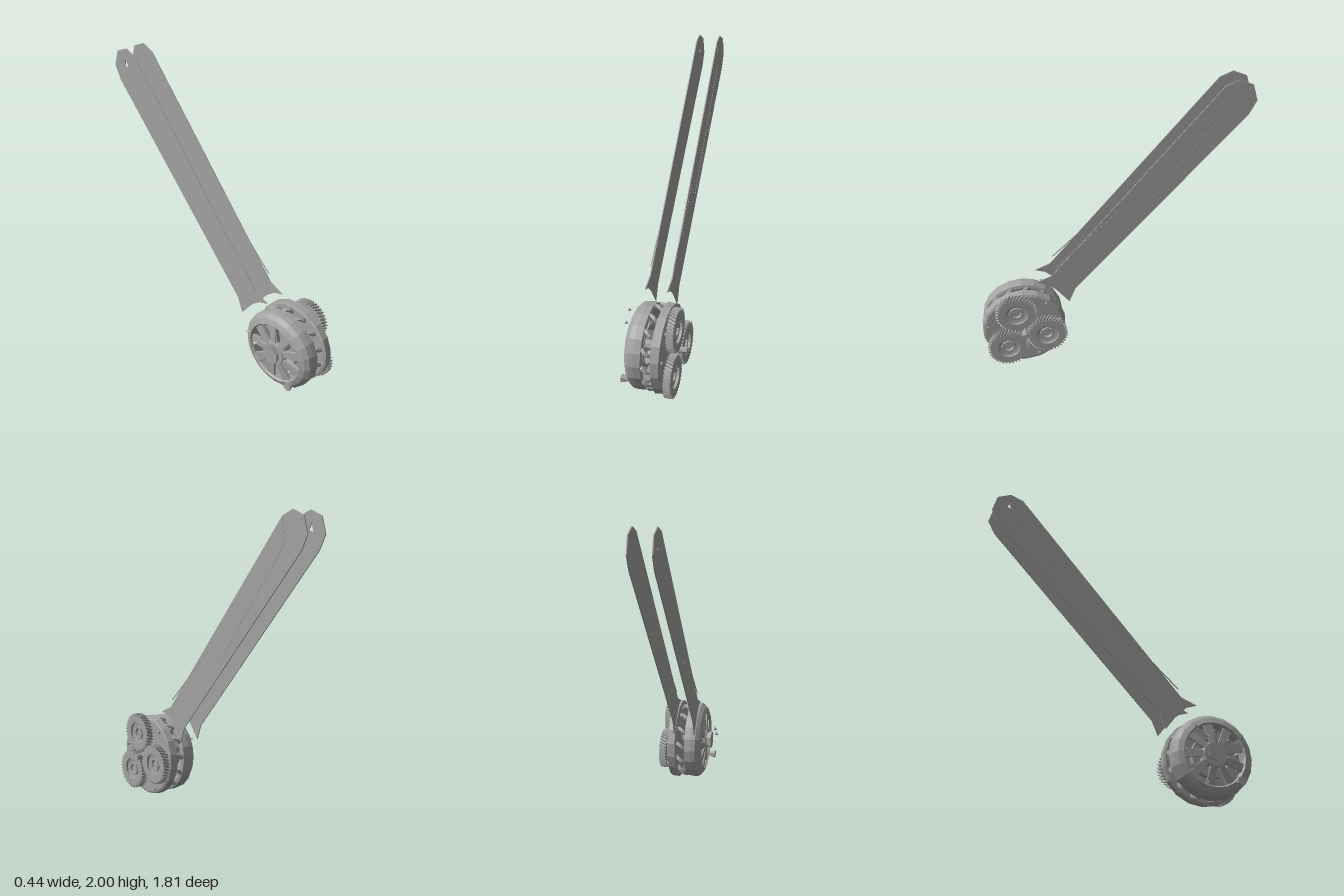
import * as THREE from 'three';

const steel = new THREE.MeshStandardMaterial({ color: 0xa3a3a3, flatShading: true, side: THREE.DoubleSide });
steel.name = 'steel grey';

// Everything is laid out in a side plane (u = -z, v = y) with depth along x,
// then the whole assembly is turned a quarter turn about y.
const CU = -0.618, CV = 0.289;

function add(parent, name, geometry, u = 0, v = 0, d = 0) {
  const mesh = new THREE.Mesh(geometry, steel);
  mesh.name = name;
  mesh.position.set(u, v, d);
  parent.add(mesh);
  return mesh;
}
const disc = (r1, r2, depth, sides) => new THREE.CylinderGeometry(r2, r1, depth, sides).rotateX(Math.PI / 2);
const ring = (profile, sides) =>
  new THREE.LatheGeometry(profile.map(([r, d]) => new THREE.Vector2(r, d)), sides).rotateX(Math.PI / 2);
const poly = pts => pts.map(([u, v]) => new THREE.Vector2(u, v));
const slab = (shape, depth, steps = 1) => new THREE.ExtrudeGeometry(shape, { depth, steps, bevelEnabled: false, curveSegments: 10 });

// Helical gear: toothed rim twisted along its depth, dished web and hexagonal hub
function makeGear(name, u, v, phase) {
  const gear = new THREE.Group();
  gear.name = name;
  gear.position.set(u, v, 0.13);
  const teeth = 36, pts = [];
  for (let i = 0; i < teeth; i++) {
    for (const [f, r] of [[0, 0.125], [0.42, 0.125], [0.56, 0.14], [0.86, 0.14]]) {
      const a = phase + (i + f) / teeth * Math.PI * 2;
      pts.push([r * Math.cos(a), r * Math.sin(a)]);
    }
  }
  const shape = new THREE.Shape(poly(pts));
  shape.holes.push(new THREE.Path().absarc(0, 0, 0.078, 0, Math.PI * 2, true));
  const rim = slab(shape, 0.046, 2), p = rim.attributes.position;
  for (let i = 0; i < p.count; i++) {
    const x = p.getX(i), y = p.getY(i), a = p.getZ(i) * 3.6;
    p.setXY(i, x * Math.cos(a) - y * Math.sin(a), x * Math.sin(a) + y * Math.cos(a));
  }
  rim.computeVertexNormals();
  add(gear, 'gearRim', rim);
  add(gear, 'gearWeb', ring([[0.04, 0.008], [0.08, 0.018], [0.08, 0.03], [0.04, 0.022], [0.04, 0.008]], 16));
  add(gear, 'gearHub', ring([[0.03, 0], [0.056, 0], [0.052, 0.036], [0.033, 0.036], [0.03, 0]], 8));
  add(gear, 'gearAxle', disc(0.032, 0.026, 0.045, 6), 0, 0, 0.002);
  return gear;
}

// Long thin blade with flared foot and rounded, faceted tip
function makeBlade(name, x, holed) {
  const blade = new THREE.Group();
  blade.name = name;
  blade.position.z = x;
  const shape = new THREE.Shape(poly([
    [-0.515, 0.62], [-0.45, 0.6], [-0.387, 0.55], [-0.297, 0.435], [-0.255, 0.54],
    [0.86, 1.765], [0.907, 1.857], [0.875, 1.963], [0.785, 2], [0.7, 1.965], [-0.41, 0.665]]));
  if (holed) shape.holes.push(new THREE.Path(poly([[0.77, 1.88], [0.81, 1.87], [0.795, 1.925]])));
  add(blade, 'bladePlate', slab(shape, 0.007), 0, 0, -0.0035);
  return blade;
}

// Narrow crease standing just proud of a blade face
function crease(parent, [u1, v1], [u2, v2], d, width = 0.006) {
  const len = Math.hypot(u2 - u1, v2 - v1);
  const bar = add(parent, 'bladeCrease', new THREE.BoxGeometry(len, width, 0.004), (u1 + u2) / 2, (v1 + v2) / 2, d);
  bar.rotation.z = Math.atan2(v2 - v1, u2 - u1);
}

export function createModel() {
  const model = new THREE.Group();
  model.name = 'gearedBladeTool';
  const side = new THREE.Group();
  side.name = 'assembly';
  side.rotation.y = Math.PI / 2;
  model.add(side);

  // Blades
  const left = makeBlade('leftBlade', 0.055, false);
  const right = makeBlade('rightBlade', -0.09, true);
  side.add(left, right);
  const lines = [
    [[-0.39, 0.72], [0.045, 1.135]], [[0.09, 1.07], [0.13, 1.05]], [[0.13, 1.05], [0.72, 1.8]],
    [[0.72, 1.8], [0.7, 1.95]], [[0.8, 1.84], [0.85, 1.81]], [[0.84, 1.93], [0.87, 1.955]],
    [[0.46, 1.37], [0.52, 1.43]], [[0.62, 1.53], [0.66, 1.57]], [[-0.38, 0.58], [-0.29, 0.52]], [[-0.41, 0.66], [-0.38, 0.58]]];
  for (const [a, b] of lines) crease(left, a, b, 0.003);
  for (const [a, b] of lines.slice(0, 3)) crease(right, a, b, -0.003);

  // Wheel body
  const wheel = new THREE.Group();
  wheel.name = 'wheel';
  wheel.position.set(CU, CV, 0);
  side.add(wheel);

  // Gear-side plate with chamfered edge, and bolts around it
  add(wheel, 'gearPlate', ring([[0.001, 0.055], [0.272, 0.055], [0.288, 0.062], [0.284, 0.113], [0.27, 0.12], [0.001, 0.12]], 18));
  for (let i = 0; i < 9; i++) {
    const a = i / 9 * Math.PI * 2 + 0.2;
    add(wheel, 'plateBolt', disc(0.014, 0.01, 0.014, 6), 0.25 * Math.cos(a), 0.25 * Math.sin(a), 0.124);
  }

  // Open rim on the other side
  add(wheel, 'openRim', ring([[0.215, -0.125], [0.25, -0.11], [0.274, -0.085], [0.278, -0.05], [0.274, -0.006],
    [0.25, 0], [0.225, -0.01], [0.205, -0.11], [0.215, -0.125]], 20));

  // Curved links between rim and plate
  for (let i = 0; i < 14; i++) {
    const a = i / 14 * Math.PI * 2, at = (r, t, d) => new THREE.Vector3(r * Math.cos(a + t), r * Math.sin(a + t), d);
    const path = new THREE.CatmullRomCurve3([at(0.235, 0, -0.02), at(0.262, 0.05, 0.005), at(0.262, 0.14, 0.03), at(0.235, 0.18, 0.062)]);
    add(wheel, 'link', new THREE.TubeGeometry(path, 6, 0.014, 5));
  }

  // Tapered spokes rising to the hub, each with a side rib
  const spokeShape = new THREE.Shape(poly([[0.05, -0.014], [0.222, -0.034], [0.222, 0.034], [0.05, 0.014]]));
  for (let i = 0; i < 9; i++) {
    const arm = new THREE.Group();
    arm.name = 'spoke';
    arm.rotation.z = i / 9 * Math.PI * 2;
    wheel.add(arm);
    const web = add(arm, 'spokeWeb', slab(spokeShape, 0.016), 0, 0, -0.132);
    web.rotation.y = -0.1;
    const rib = add(arm, 'spokeRib', new THREE.BoxGeometry(0.16, 0.012, 0.05), 0.14, 0.014, -0.09);
    rib.rotation.x = 0.4;
  }
  add(wheel, 'innerRing', ring([[0.12, -0.07], [0.14, -0.07], [0.14, -0.03], [0.12, -0.03], [0.12, -0.07]], 16));

  // Hub, central shaft and output shaft
  add(wheel, 'hubNut', disc(0.066, 0.05, 0.04, 6), 0, 0.005, -0.145);
  add(wheel, 'hubBase', disc(0.08, 0.09, 0.03, 12), 0, 0, -0.115);
  add(wheel, 'centralShaft', disc(0.035, 0.035, 0.19, 8), 0, 0, -0.03);
  add(wheel, 'outputShaft', disc(0.022, 0.022, 0.1, 8), 0, 0, 0.167);

  // Flared funnel on the open side
  add(side, 'funnel', disc(0.03, 0.014, 0.055, 6), -0.775, 0.12, -0.138);

  // Two small loose catches beside the hub
  for (const [u, v] of [[-0.47, 0.44], [-0.535, 0.38]]) {
    const chip = add(side, 'catch', new THREE.ConeGeometry(0.014, 0.035, 3), u, v, -0.21);
    chip.rotation.set(0.6, 0, 0.8);
  }

  // Three meshing gears
  side.add(makeGear('upperGear', -0.668, 0.45, 0), makeGear('rearGear', -0.467, 0.255, 0.09), makeGear('lowerGear', -0.737, 0.17, 0.04));
  return model;
}
